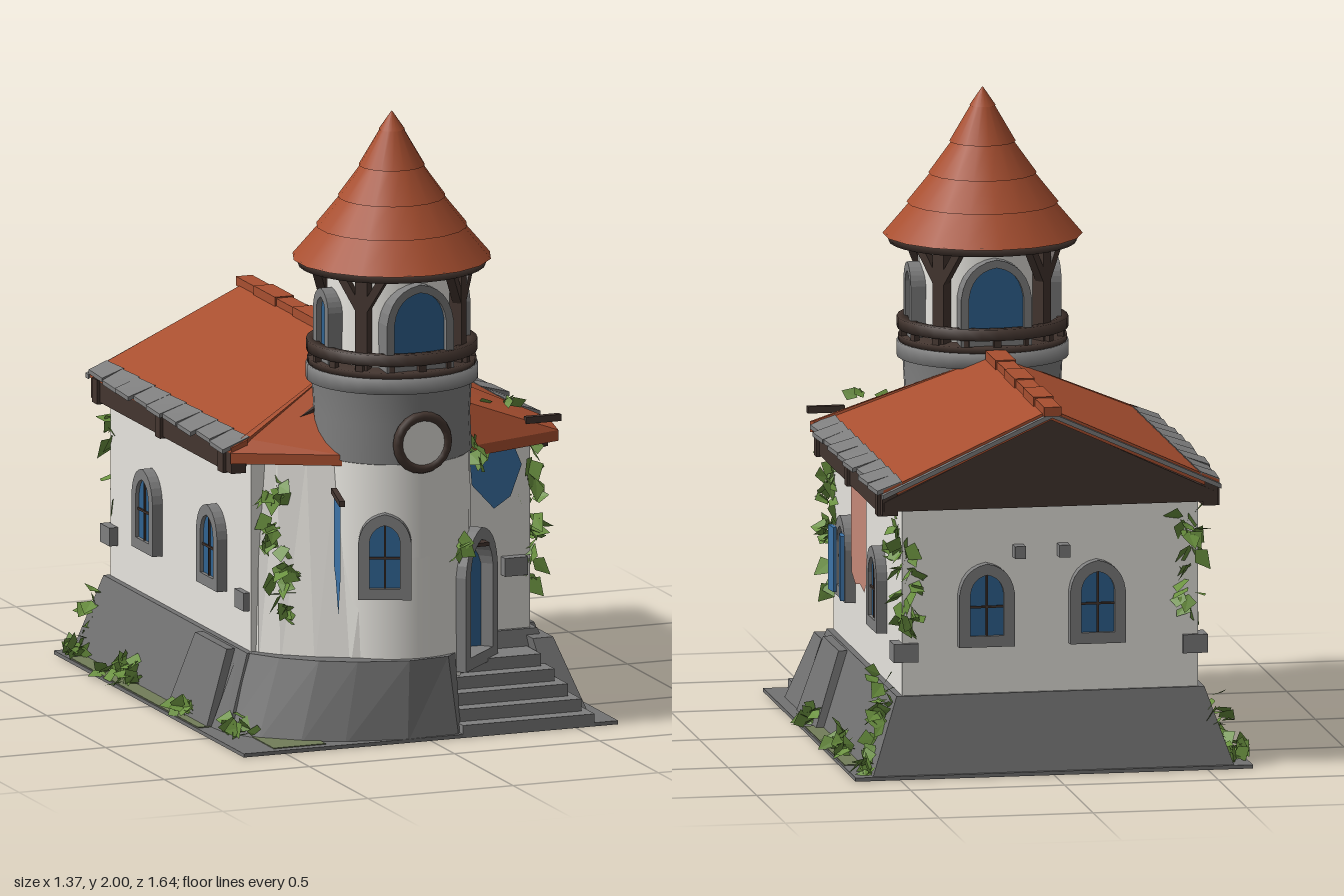
import * as THREE from 'three';

const mat = (name, color, side = THREE.FrontSide) => {
  const m = new THREE.MeshStandardMaterial({ color, side });
  m.name = name;
  return m;
};
const D = THREE.DoubleSide;

export function createModel() {
  const root = new THREE.Group();
  root.name = 'towerHouse';
  const plaster = mat('plaster', 0xe6e4de), stone = mat('stone', 0x7e7e7e), rock = mat('baseStone', 0x727272),
    tile = mat('roofTile', 0xa84f30), wood = mat('darkWood', 0x43352f), blue = mat('blueCloth', 0x3d74a8, D),
    glass = mat('blueGlass', 0x2f6290, D), pink = mat('fadedCloth', 0xc58878, D),
    leaf = mat('ivy', 0x6a913f, D), grass = mat('moss', 0x727d5a);
  const TX = -0.01, TZ = 0.49; // tower axis

  let seed = 7;
  const rnd = () => (seed = (seed * 16807) % 2147483647) / 2147483647;
  const rr = (a, b) => a + (b - a) * rnd();

  const add = (name, geo, m, p = [0, 0, 0], r = [0, 0, 0], parent = root) => {
    const o = new THREE.Mesh(geo, m);
    o.name = name;
    o.position.set(...p);
    o.rotation.set(...r);
    parent.add(o);
    return o;
  };
  const box = (name, w, h, d, m, p, r, parent) => add(name, new THREE.BoxGeometry(w, h, d), m, p, r, parent);
  const fromTris = (pos) => {
    const g = new THREE.BufferGeometry();
    g.setAttribute('position', new THREE.Float32BufferAttribute(pos, 3));
    g.computeVertexNormals();
    return g;
  };
  // Solid between two rings of points, listed counter-clockwise seen from above
  const loft = (lo, hi) => {
    const out = [], n = lo.length;
    const tri = (a, b, c) => out.push(...a, ...b, ...c);
    for (let i = 0; i < n; i++) {
      const j = (i + 1) % n;
      tri(lo[i], lo[j], hi[j]);
      tri(lo[i], hi[j], hi[i]);
      if (i > 0 && i < n - 1) {
        tri(hi[0], hi[i], hi[i + 1]);
        tri(lo[0], lo[i + 1], lo[i]);
      }
    }
    return fromTris(out);
  };
  const at = (pts, y) => pts.map(([x, z]) => [x, y, z]);
  const rect = (x0, x1, z0, z1) => [[x1, z1], [x1, z0], [x0, z0], [x0, z1]];
  const mirror = (ring, s) => (s > 0 ? ring : ring.map(([x, y, z]) => [-x, y, z]).reverse());
  const slab = (ring, t) => loft(ring.map(([x, y, z]) => [x, y - t, z]), ring);
  const lathe = (name, pts, m, start = 0, length = Math.PI * 2) =>
    add(name, new THREE.LatheGeometry(pts.map(p => new THREE.Vector2(...p)), 32, start, length), m, [TX, 0, TZ]);

  // Ground plate with moss patches
  box('groundPlate', 1.29, 0.012, 1.62, rock, [0, 0.006, -0.01]);
  box('mossLeft', 0.06, 0.004, 1.1, grass, [-0.61, 0.013, -0.15]);
  box('mossRight', 0.06, 0.004, 0.7, grass, [0.61, 0.013, -0.25]);
  box('mossFront', 0.18, 0.004, 0.22, grass, [-0.44, 0.013, 0.66]);

  // Sloping stone base, with a rounded front around the tower
  add('houseBase', loft(at(rect(-0.59, 0.59, -0.81, 0.52), 0), at(rect(-0.5, 0.5, -0.755, 0.47), 0.26)), rock);
  add('towerBase', loft(
    at([[0.12, 0.4], [-0.6, 0.4], [-0.59, 0.5], [-0.52, 0.61], [-0.41, 0.7], [-0.28, 0.76], [-0.08, 0.8], [0.1, 0.79], [0.12, 0.76]], 0),
    at([[0.12, 0.4], [-0.5, 0.4], [-0.49, 0.48], [-0.43, 0.57], [-0.33, 0.66], [-0.22, 0.72], [-0.06, 0.765], [0.08, 0.75], [0.12, 0.71]], 0.26)), rock);
  for (const s of [-1, 1])
    add('buttress', loft(mirror(at(rect(0.5, 0.615, 0.06, 0.4), 0), s), mirror(at(rect(0.45, 0.53, 0.1, 0.37), 0.255), s)), rock);

  // Stairs, widening downward
  for (let i = 0; i < 5; i++) {
    const x1 = 0.46 + i * 0.026, d = 0.15 + i * 0.05;
    box('step', x1 - 0.11, 0.04, d, stone, [(x1 + 0.11) / 2, 0.185 - i * 0.041, 0.45 + d / 2]);
  }
  add('stairKerb', loft(at(rect(0.5, 0.61, 0.4, 0.64), 0), at(rect(0.46, 0.53, 0.4, 0.53), 0.24)), rock);

  // Plastered walls; the tower wall is open at the entrance
  box('houseWalls', 0.96, 0.68, 1.2, plaster, [0, 0.56, -0.145]);
  add('curvedWall', loft(
    at([[0, 0.4], [-0.48, 0.4], [-0.46, 0.47], [-0.41, 0.53], [-0.32, 0.6], [-0.22, 0.655], [-0.1, 0.71], [0, 0.72]], 0.22),
    at([[0, 0.4], [-0.47, 0.4], [-0.45, 0.44], [-0.4, 0.48], [-0.32, 0.53], [-0.235, 0.58], [-0.13, 0.68], [0, 0.71]], 0.9)), plaster);
  const gap0 = 0.66, gap1 = 1.36;
  lathe('towerWallLower', [[0.254, 0.18], [0.252, 0.59]], plaster, gap1, Math.PI * 2 - gap1 + gap0);
  lathe('towerWallUpper', [[0.252, 0.585], [0.25, 0.9]], plaster);
  lathe('towerBand', [[0.25, 0.895], [0.256, 0.9], [0.25, 1.02], [0.256, 1.13]], stone);
  lathe('towerCollar', [[0.25, 1.125], [0.275, 1.13], [0.275, 1.18], [0.2, 1.185]], stone);
  lathe('lookoutWall', [[0.21, 1.18], [0.205, 1.52]], plaster);

  // Main roof: dark attic, eave beams, tiled slopes, ridge and ragged stone eaves
  const gable = new THREE.Shape([[-0.54, 0.86], [0.54, 0.86], [0.54, 0.89], [0, 1.145], [-0.54, 0.89]].map(p => new THREE.Vector2(...p)));
  add('atticAndGable', new THREE.ExtrudeGeometry(gable, { depth: 1.17, bevelEnabled: false }), wood, [0, 0, -0.755]);
  for (const s of [-1, 1]) {
    add('roofSlope', slab(mirror([[0.5, 0.95, 0.45], [0.5, 0.95, -0.765], [0, 1.178, -0.765], [0, 1.178, 0.22]], s), 0.035), tile);
    add('verge', slab(mirror([[0.55, 0.92, -0.76], [0.55, 0.92, -0.785], [0, 1.168, -0.785], [0, 1.168, -0.76]], s), 0.015), stone);
    add('roofLip', slab(mirror([[0.545, 0.932, 0.45], [0.545, 0.932, -0.765], [0.49, 0.955, -0.765], [0.49, 0.955, 0.45]], s), 0.02), tile);
    const skirt = s > 0
      ? [[0.54, 0.92, 0.55], [0.545, 0.94, 0.45], [0, 1.18, 0.22], [0.1, 1.08, 0.5], [0.26, 0.9, 0.57]]
      : [[0.55, 0.915, 0.45], [0.5, 0.955, 0.42], [0, 1.18, 0.22], [0.1, 1.09, 0.5], [0.23, 0.915, 0.61]];
    add('frontRoofSkirt', slab(mirror(skirt, s), 0.035), tile);
    box('eaveBeam', 0.05, 0.08, 1.2, wood, [s * 0.52, 0.886, -0.152]);
    for (let i = 0; i < 9; i++) {
      const z = -0.765 + i * 0.134, e = rr(0.555, 0.58), dy = rr(-0.004, 0.006);
      add('eaveStone', slab(mirror([[e, 0.93 + dy, z + 0.134], [e - 0.008, 0.93 + dy, z], [0.485, 0.96, z], [0.48, 0.962, z + 0.134]], s), 0.014), stone);
      if (i % 4 === 0) box('rafterEnd', 0.03, 0.08, 0.045, wood, [s * 0.54, 0.88, z + 0.07]);
    }
  }
  for (let i = 0; i < 6; i++)
    box('ridgeTile', 0.056 + (i % 2) * 0.01, 0.03, 0.18, tile, [0, 1.175 + (i % 2) * 0.004, -0.705 + i * 0.165]);

  // Lookout: floor, railing, posts and braces
  lathe('lookoutFloor', [[0.2, 1.178], [0.27, 1.18], [0.27, 1.2], [0.2, 1.205]], wood);
  lathe('railing', [[0.24, 1.222], [0.274, 1.222], [0.274, 1.258], [0.24, 1.258], [0.24, 1.222]], wood);
  for (let i = 0; i < 16; i++) {
    const a = (i / 16) * Math.PI * 2;
    box('baluster', 0.024, 0.04, 0.02, wood, [TX + 0.257 * Math.sin(a), 1.212, TZ + 0.257 * Math.cos(a)], [0, a, 0]);
  }
  for (let i = 0; i < 4; i++) {
    const g = new THREE.Group();
    g.name = 'lookoutPost';
    g.position.set(TX, 0, TZ);
    g.rotation.y = Math.PI / 4 + (i * Math.PI) / 2;
    box('post', 0.042, 0.33, 0.042, wood, [0, 1.355, 0.23], [0, 0, 0], g);
    for (const s of [-1, 1]) box('brace', 0.026, 0.13, 0.03, wood, [s * 0.04, 1.45, 0.235], [0, 0, -s * 0.55], g);
    root.add(g);
  }
  lathe('roofRing', [[0.19, 1.5], [0.3, 1.5], [0.312, 1.53], [0.2, 1.535]], wood);

  // Conical roof in overlapping tiers
  const tiers = [[1.525, 0.32, 1.64, 0.222], [1.627, 0.243, 1.74, 0.152], [1.722, 0.173, 1.84, 0.088], [1.824, 0.106, 1.955, 0.03], [1.94, 0.042, 2, 0.001]];
  for (const [y0, r0, y1, r1] of tiers)
    add('coneRoofTier', new THREE.CylinderGeometry(r1, r0, y1 - y0, 18), tile, [TX, (y0 + y1) / 2, TZ]);

  // Arched openings
  const arch = (C, w, h) => {
    const s = new C(), k = h - w * 0.55;
    s.moveTo(-w / 2, 0);
    s.lineTo(w / 2, 0);
    s.lineTo(w / 2, k);
    s.quadraticCurveTo(w * 0.44, h * 0.95, 0, h);
    s.quadraticCurveTo(-w * 0.44, h * 0.95, -w / 2, k);
    s.closePath();
    return s;
  };
  const opening = (name, w, h, t, depth, p, ry, { pane = true, bars = true } = {}) => {
    const g = new THREE.Group();
    g.name = name;
    g.position.set(...p);
    g.rotation.y = ry;
    const f = arch(THREE.Shape, w, h);
    const hole = arch(THREE.Path, w - 2 * t, h - 2 * t);
    f.holes.push(new THREE.Path(hole.getPoints(6).map(v => new THREE.Vector2(v.x, v.y + t))));
    add('frame', new THREE.ExtrudeGeometry(f, { depth, bevelEnabled: false, curveSegments: 6 }), stone, [0, 0, -depth / 2], [0, 0, 0], g);
    if (pane) add('pane', new THREE.ShapeGeometry(arch(THREE.Shape, w - 1.5 * t, h - 1.5 * t)), glass, [0, t * 0.75, depth * 0.3], [0, 0, 0], g);
    if (bars) {
      box('mullion', 0.007, h - 2 * t, 0.008, wood, [0, h / 2, depth * 0.33], [0, 0, 0], g);
      box('crossbar', w - 2 * t, 0.007, 0.008, wood, [0, h * 0.48, depth * 0.33], [0, 0, 0], g);
    }
    root.add(g);
  };
  const q = Math.PI / 2;
  for (const s of [-1, 1]) for (const z of [0.16, -0.39])
    opening('sideWindow', 0.18, 0.27, 0.036, 0.06, [s * 0.485, 0.415, z], s * q);
  for (const x of [-0.15, 0.21]) {
    opening('backWindow', 0.18, 0.27, 0.036, 0.06, [x, 0.415, -0.75], Math.PI);
    box('backLantern', 0.035, 0.04, 0.05, stone, [x * 0.4 + 0.02, 0.72, -0.765]);
  }
  for (const s of [-1, 1]) box('shutter', 0.014, 0.21, 0.058, blue, [0.522, 0.53, 0.165 + s * 0.08], [0, s * 0.12, 0]);
  opening('towerWindow', 0.17, 0.28, 0.036, 0.08, [-0.12, 0.46, 0.705], -0.4);
  for (let i = 0; i < 4; i++) {
    const narrow = i % 2 === 1, a = i * q, d = 0.2;
    opening('lookoutWindow', narrow ? 0.13 : 0.23, narrow ? 0.24 : 0.28, narrow ? 0.03 : 0.026, 0.09,
      [TX + d * Math.sin(a), 1.2, TZ + d * Math.cos(a)], a, { bars: false });
  }

  // Entrance: stone arch, wooden reveal and a blue door set back inside
  opening('doorway', 0.26, 0.45, 0.04, 0.12, [0.2, 0.195, 0.592], Math.PI / 4, { pane: false, bars: false });
  box('doorLeaf', 0.17, 0.39, 0.012, glass, [0.2, 0.395, 0.535]);
  box('doorReveal', 0.012, 0.39, 0.15, wood, [0.118, 0.395, 0.605]);
  box('doorLintel', 0.15, 0.012, 0.13, wood, [0.185, 0.592, 0.59]);

  // Round plaque on the tower
  add('plaqueRing', new THREE.TorusGeometry(0.085, 0.017, 8, 20), wood, [-0.005, 0.965, 0.74]);
  add('plaqueFace', new THREE.CylinderGeometry(0.085, 0.085, 0.03, 20), plaster, [-0.005, 0.965, 0.735], [q, 0, 0]);

  // Cloths
  const cloth = (name, pts, m, p, ry) =>
    add(name, new THREE.ShapeGeometry(new THREE.Shape(pts.map(v => new THREE.Vector2(...v)))), m, p, [0, ry, 0]);
  cloth('wallBanner', [[-0.135, 0], [-0.13, -0.31], [-0.06, -0.34], [0.02, -0.325], [0.1, -0.34], [0.135, -0.3], [0.135, 0]], pink, [0.51, 0.845, -0.145], q);
  cloth('towerBanner', [[-0.08, 0], [-0.075, -0.26], [-0.03, -0.38], [0.03, -0.28], [0.08, -0.23], [0.08, 0]], blue, [-0.285, 0.8, 0.705], q - 0.25);
  box('bannerPole', 0.018, 0.018, 0.2, wood, [-0.28, 0.8, 0.7], [0, -0.25, 0]);
  cloth('pennant', [[-0.09, 0.02], [-0.08, -0.09], [0.0, -0.175], [0.06, -0.14], [0.1, -0.04], [0.07, 0.03]], blue, [0.32, 0.855, 0.545], 0.1);
  box('eavePole', 0.12, 0.022, 0.022, wood, [0.49, 0.96, 0.54]);

  // Jutting corner stones
  for (const [x, y, z] of [[0.42, 0.47, 0.45], [0.47, 0.4, -0.72], [-0.47, 0.4, -0.72], [-0.46, 0.42, 0.4]])
    box('cornerStone', 0.08, 0.06, 0.08, stone, [x, y, z]);

  // Ivy trails and ground tufts made of folded leaves
  const foliage = (name, [x, y, z], [sx, sy, sz], n, size) => {
    const out = [];
    for (let i = 0; i < n; i++) {
      const p = new THREE.Vector3(x + rr(-sx, sx), y + rr(-sy, sy), z + rr(-sz, sz));
      const d = new THREE.Vector3(rr(-1, 1), rr(-1, 0.5), rr(-1, 1)).normalize().multiplyScalar(size * rr(0.6, 1));
      const w = new THREE.Vector3(rr(-1, 1), rr(-1, 1), rr(-1, 1)).cross(d).normalize().multiplyScalar(size * 0.42);
      const mid = p.clone().addScaledVector(d, 0.4), tip = p.clone().add(d);
      tip.y = Math.max(tip.y - size * 0.15, 0.01);
      for (const s of [-1, 1]) {
        const c = mid.clone().addScaledVector(w, s);
        c.y = Math.max(c.y, 0.01);
        out.push(...p, ...c, ...tip);
      }
    }
    add(name, fromTris(out), leaf);
  };
  const trails = [[0.485, 0.58, 0.435, 0.18], [0.48, 0.8, 0.44, 0.08], [0.49, 0.77, -0.67, 0.07], [0.47, 0.62, -0.755, 0.17],
    [0.545, 0.2, -0.7, 0.14], [-0.42, 0.7, 0.51, 0.13], [-0.41, 0.46, 0.54, 0.11], [-0.45, 0.68, -0.755, 0.16],
    [-0.54, 0.13, -0.74, 0.1], [0.25, 0.89, 0.57, 0.06], [0.12, 0.6, 0.7, 0.03]];
  for (const [x, y, z, h] of trails) foliage('ivyTrail', [x, y, z], [0.02, h, 0.022], Math.round(h * 190), 0.075);
  foliage('roofIvy', [0.34, 1.0, 0.47], [0.07, 0.03, 0.04], 7, 0.06);
  const tufts = [[-0.61, -0.7], [0.59, -0.74], [0.6, -0.41], [-0.61, -0.4], [-0.61, -0.27], [0.6, -0.27], [0.61, 0.13], [-0.62, 0.22], [-0.56, 0.56], [0.6, 0.16]];
  for (const [x, z] of tufts) foliage('tuft', [x, 0.045, z], [0.022, 0.025, 0.035], 14, 0.075);
  return root;
}
